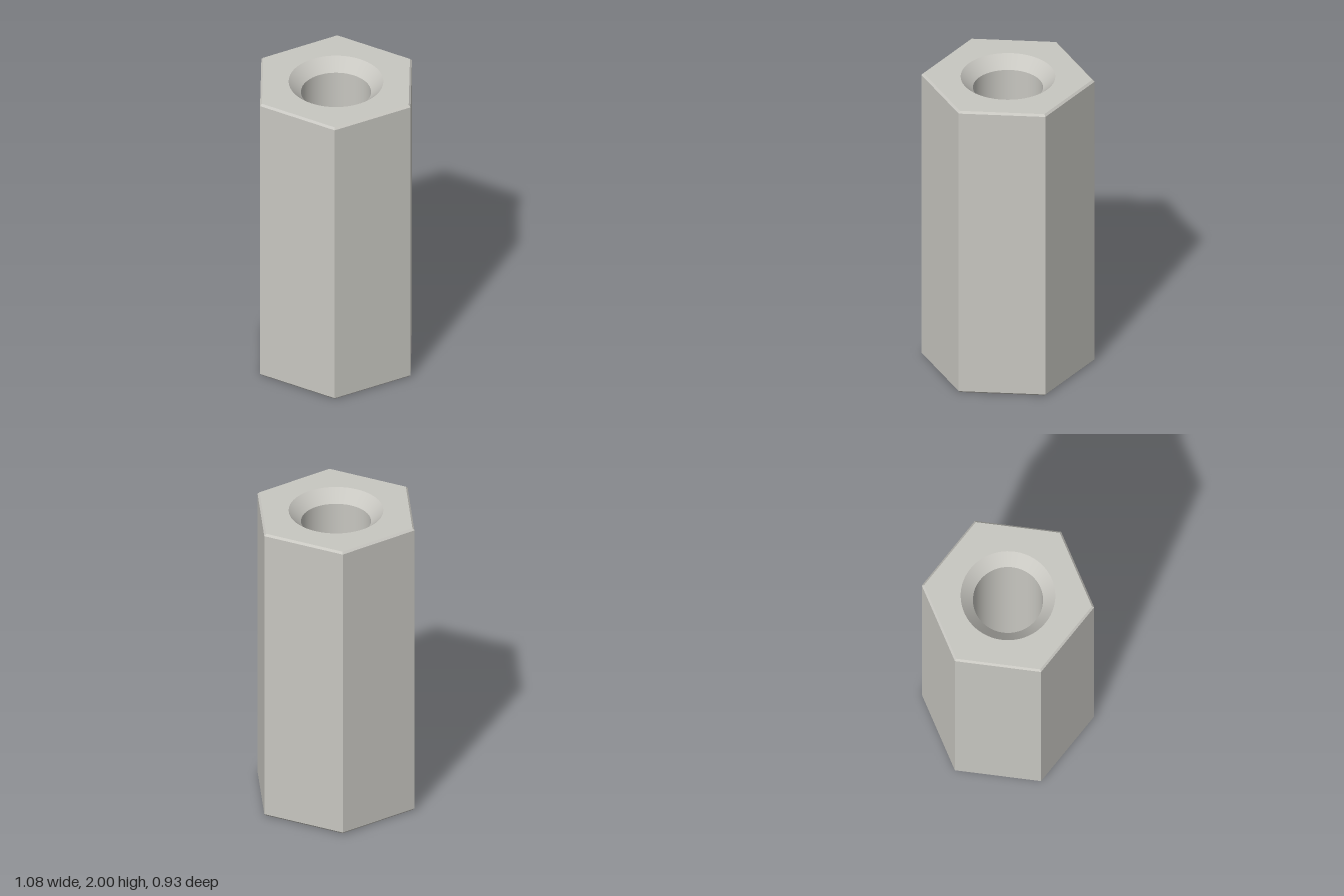
import * as THREE from 'three';

const HEX = 0.538, HEX_IN = 0.524;     // hexagon corner radius, and inside the chamfer
const BORE = 0.217, SINK = 0.293;      // bore radius, countersink mouth radius
const H = 2, CHAMFER = 0.013, SINK_DEPTH = 0.077;

export function createModel() {
  const steel = new THREE.MeshStandardMaterial({ color: 0xc8c7c1 });
  steel.name = 'light grey metal';
  const group = new THREE.Group();
  group.name = 'hexStandoff';

  const add = (name, geometry) => {
    const mesh = new THREE.Mesh(geometry, steel);
    mesh.name = name;
    group.add(mesh);
  };
  const lathe = (points, sides, start = 0) =>
    new THREE.LatheGeometry(points.map(([r, y]) => new THREE.Vector2(r, y)), sides, start);

  // Six flat sides with a narrow chamfer at both ends
  const shell = lathe(
    [[HEX_IN, 0], [HEX, CHAMFER], [HEX, H - CHAMFER], [HEX_IN, H]], 6, Math.PI / 6
  ).toNonIndexed();
  shell.computeVertexNormals();
  add('hexBody', shell);

  // End faces: hexagon with a round opening
  const face = new THREE.Shape();
  for (let i = 0; i < 6; i++) {
    const a = i * Math.PI / 3;
    face[i ? 'lineTo' : 'moveTo'](HEX_IN * Math.cos(a), HEX_IN * Math.sin(a));
  }
  face.closePath();
  face.holes.push(new THREE.Path().absarc(0, 0, SINK, 0, Math.PI * 2, true));
  add('topFace', new THREE.ShapeGeometry(face, 32).rotateX(-Math.PI / 2).translate(0, H, 0));
  add('bottomFace', new THREE.ShapeGeometry(face, 32).rotateX(Math.PI / 2));

  // Through hole, profiles run downward so the surfaces face the axis
  add('topCountersink', lathe([[SINK, H], [BORE, H - SINK_DEPTH]], 64));
  add('bore', lathe([[BORE, H - SINK_DEPTH], [BORE, SINK_DEPTH]], 64));
  add('bottomCountersink', lathe([[BORE, SINK_DEPTH], [SINK, 0]], 64));

  return group;
}
